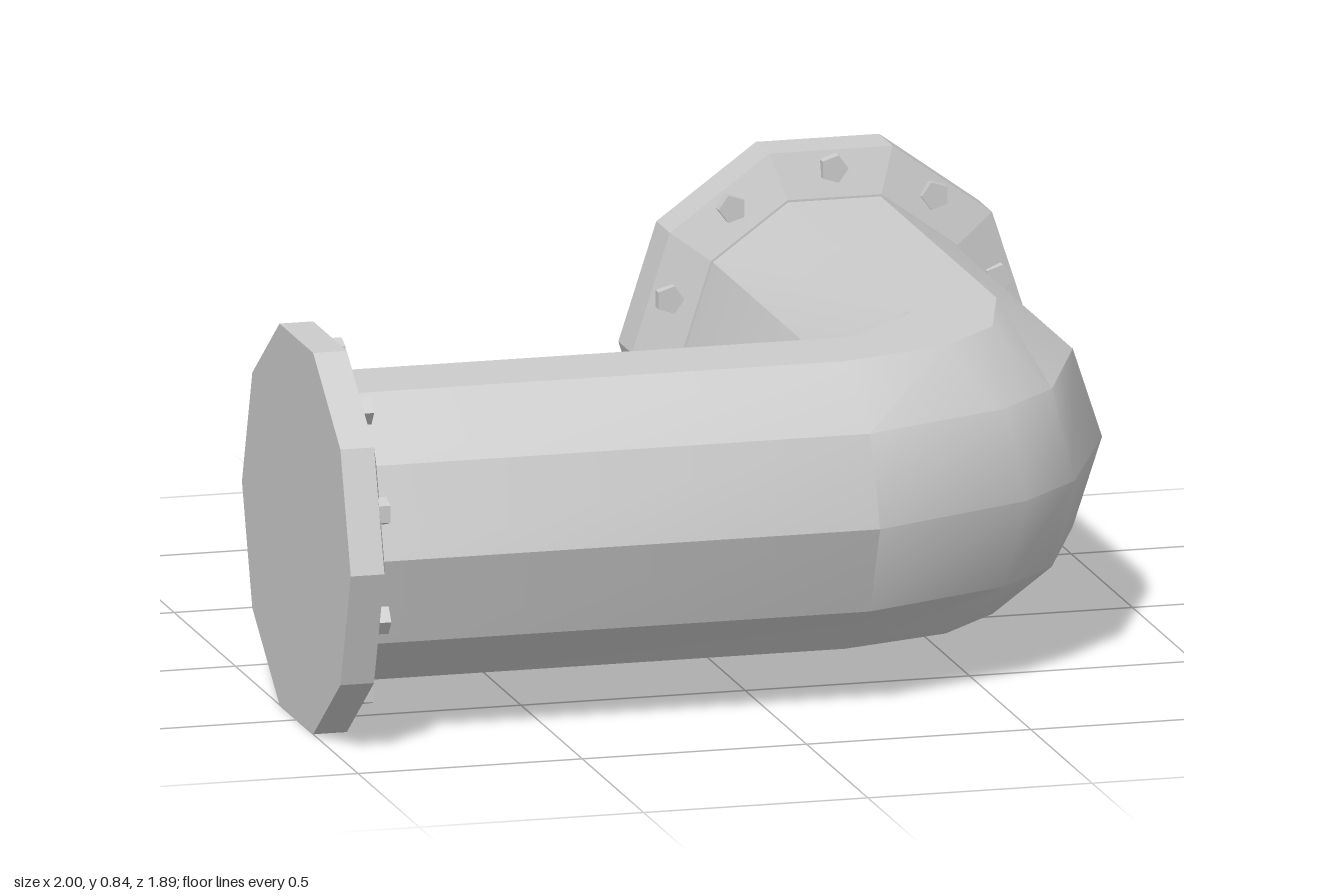
import * as THREE from 'three';
import { toCreasedNormals } from 'three/addons/utils/BufferGeometryUtils.js';

const SIDES = 10;
const PIPE_R = 0.335, FLANGE_R = 0.444, BOLT_R = 0.385;
const CY = 0.422, CX = 0.556, CZ = 0.497; // axis height, x of back run, z of left run

const flat = new THREE.MeshStandardMaterial({ color: 0xcccccc, flatShading: true });
const creased = new THREE.MeshStandardMaterial({ color: 0xcccccc });

// Plan positions of the first two bend rings, from outer edge to inner edge.
const BEND_START = [0.21, 0.205, 0.195, 0.23, 0.22, 0.219];
const BEND_MID = [[0.58, 0.67], [0.54, 0.63], [0.44, 0.525], [0.28, 0.385], [0.227, 0.226], [0.22, 0.162]];

// Ring of corners on one cross-section; place(step, offset) gives [x, z].
function ring(place) {
  const points = [];
  for (let k = 0; k < SIDES; k++) {
    const a = (k / SIDES) * Math.PI * 2;
    const step = Math.min(k, SIDES - k);
    const [x, z] = place(step, PIPE_R * Math.cos(a));
    points.push([x, CY + PIPE_R * Math.sin(a), z]);
  }
  return points;
}

// Mirror a ring across the mitre line of the elbow.
const mirror = (points) => points.map(([x, y, z]) => [z + CX - CZ, y, x - CX + CZ]);

function elbowPipe() {
  const bendStart = ring((i, d) => [BEND_START[i], CZ + d]);
  const bendMid = ring((i) => BEND_MID[i]);
  const rings = [
    ring((i, d) => [-0.95, CZ + d]),
    bendStart,
    bendMid,
    mirror(bendMid),
    mirror(bendStart),
    ring((i, d) => [CX + d, -0.88]),
  ];
  const index = [];
  for (let s = 0; s < rings.length - 1; s++) {
    for (let k = 0; k < SIDES; k++) {
      const n = (k + 1) % SIDES;
      const a = s * SIDES + k, b = s * SIDES + n;
      const c = b + SIDES, d = a + SIDES;
      index.push(a, d, c, a, c, b);
    }
  }
  const geometry = new THREE.BufferGeometry();
  geometry.setAttribute('position', new THREE.Float32BufferAttribute(rings.flat(2), 3));
  geometry.setIndex(index);
  const mesh = new THREE.Mesh(toCreasedNormals(geometry, 0.61), creased);
  mesh.name = 'elbowPipe';
  return mesh;
}

// Ten-sided flange facing +z, with a slightly coned face and a ring of bolts.
function flange(name, thickness) {
  const group = new THREE.Group();
  group.name = name;

  const profile = [
    [0, 0], [FLANGE_R, 0], [FLANGE_R, thickness],
    [PIPE_R + 0.005, thickness + 0.028], [0, thickness + 0.028],
  ].map(([r, h]) => new THREE.Vector2(r, h));
  const plate = new THREE.Mesh(new THREE.LatheGeometry(profile, SIDES, Math.PI / 2), flat);
  plate.name = 'flangePlate';
  plate.rotation.x = Math.PI / 2;
  group.add(plate);

  // Five-sided bolt heads, one in the middle of each flange side
  const boltGeometry = new THREE.CylinderGeometry(0.032, 0.032, 0.036, 5).rotateX(Math.PI / 2);
  for (let k = 0; k < SIDES; k++) {
    const a = ((k + 0.5) / SIDES) * Math.PI * 2;
    const bolt = new THREE.Mesh(boltGeometry, flat);
    bolt.name = 'bolt';
    bolt.position.set(BOLT_R * Math.cos(a), BOLT_R * Math.sin(a), thickness + 0.01);
    bolt.rotation.z = a;
    group.add(bolt);
  }
  return group;
}

export function createModel() {
  const model = new THREE.Group();
  model.name = 'pipeElbow';

  const backFlange = flange('backFlange', 0.11);
  backFlange.position.set(CX, CY, -0.945);

  const sideFlange = flange('sideFlange', 0.075);
  sideFlange.rotation.y = Math.PI / 2;
  sideFlange.position.set(-1, CY, CZ);

  model.add(elbowPipe(), backFlange, sideFlange);
  return model;
}
